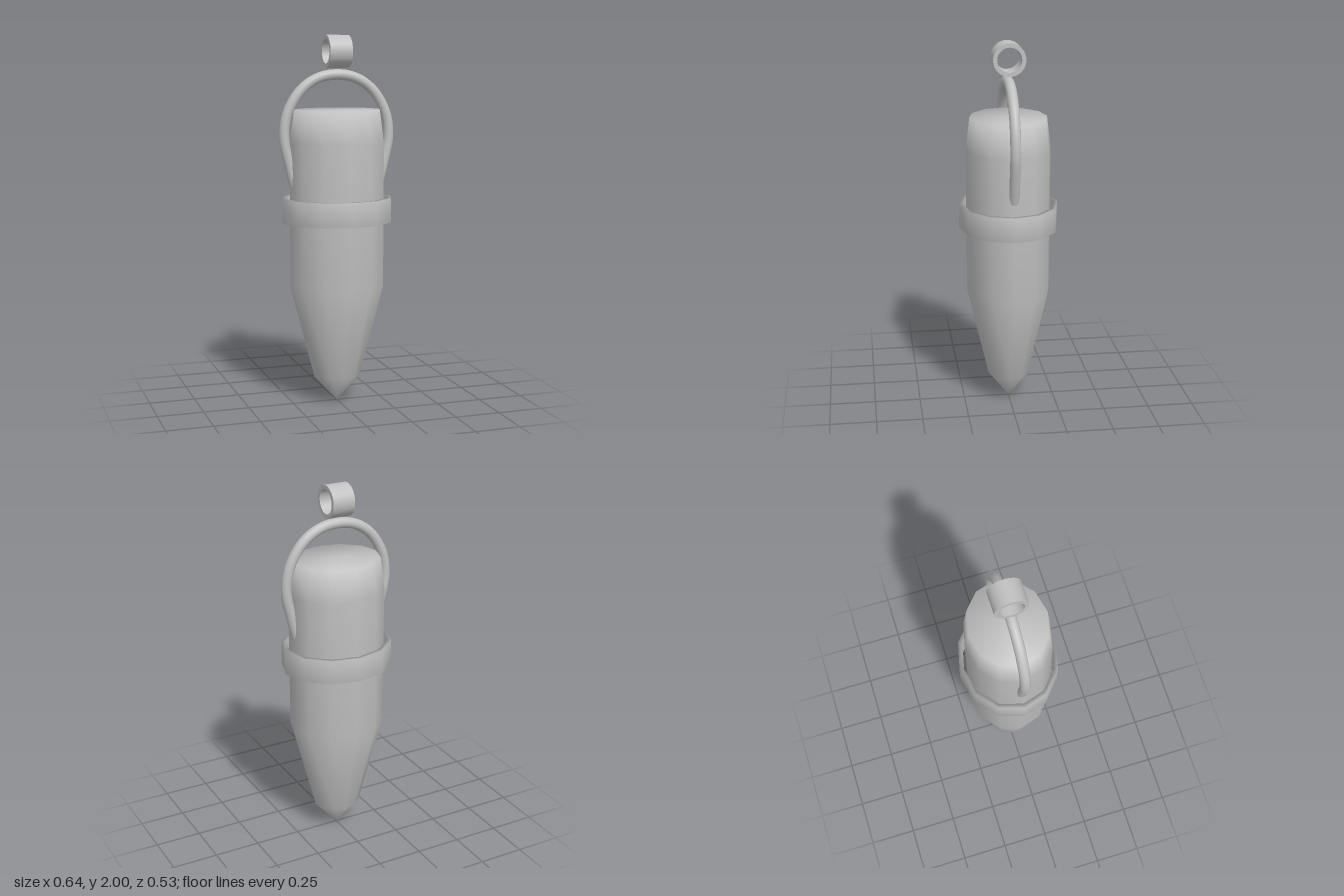
import * as THREE from 'three';

// Twelve-sided solid from a [radius, height] profile, squashed in depth
function facetedLathe(profile, depth, segments = 12) {
  const points = profile.map(([r, y]) => new THREE.Vector2(r, y));
  return new THREE.LatheGeometry(points, segments).scale(1, 1, depth);
}

export function createModel() {
  const group = new THREE.Group();
  const silver = new THREE.MeshStandardMaterial({ color: 0xc0c0c0 });
  silver.name = 'silver grey';

  const add = (name, geometry) => {
    const mesh = new THREE.Mesh(geometry, silver);
    mesh.name = name;
    group.add(mesh);
    return mesh;
  };

  // Pointed crystal with a bevelled shoulder and flat top
  add('crystal', facetedLathe([
    [0, 0], [0.13, 0.145], [0.263, 0.65], [0.263, 1.43], [0.239, 1.605], [0, 1.605],
  ], 0.867));

  // Hollow band standing slightly clear of the crystal
  add('band', facetedLathe([
    [0.279, 1.0], [0.305, 1.0], [0.305, 1.132], [0.279, 1.132], [0.279, 1.0],
  ], 0.877));

  // Arched wire handle, mirrored about the centre
  const half = [
    [0.238, 1.205], [0.265, 1.31], [0.294, 1.46], [0.274, 1.59], [0.2, 1.71], [0.105, 1.773],
  ];
  const path = [
    ...half.map(([x, y]) => new THREE.Vector3(-x, y, 0)),
    new THREE.Vector3(0, 1.791, 0),
    ...half.slice().reverse().map(([x, y]) => new THREE.Vector3(x, y, 0)),
  ];
  const wire = 0.028;
  add('handle', new THREE.TubeGeometry(new THREE.CatmullRomCurve3(path), 64, wire, 16));

  // Rounded wire ends
  for (const side of [-1, 1]) {
    const end = add('handleEnd', new THREE.SphereGeometry(wire, 16, 10));
    end.position.set(side * half[0][0], half[0][1], 0);
  }

  // Hanging loop: a short pipe lying along x
  const pipe = new THREE.Shape().absarc(0, 0, 0.087, 0, Math.PI * 2, false);
  pipe.holes.push(new THREE.Path().absarc(0, 0, 0.065, 0, Math.PI * 2, true));
  const width = 0.124;
  const loopGeometry = new THREE.ExtrudeGeometry(pipe, {
    depth: width, bevelEnabled: false, curveSegments: 40,
  });
  loopGeometry.translate(0, 0, -width / 2).rotateY(Math.PI / 2);
  add('hangingLoop', loopGeometry).position.y = 1.913;

  return group;
}
